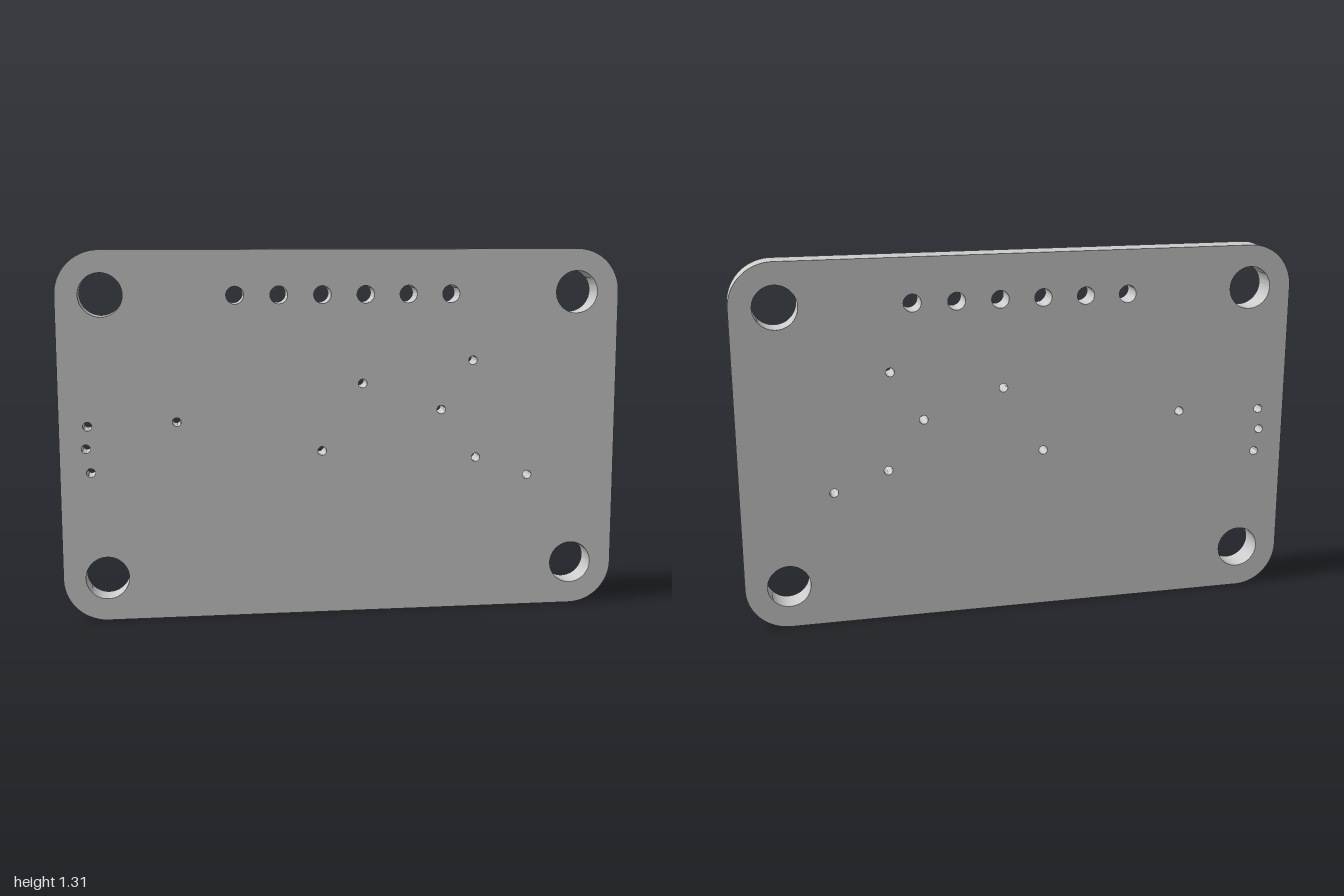
import * as THREE from 'three';
import { toCreasedNormals } from 'three/addons/utils/BufferGeometryUtils.js';

const W = 2, H = 1.308, T = 0.095, R = 0.154;

// Plate outline with rounded corners, standing on y = 0
function plateOutline() {
  const s = new THREE.Shape();
  const x = W / 2 - R, q = Math.PI / 2;
  s.absarc(x, R, R, -q, 0, false);
  s.absarc(x, H - R, R, 0, q, false);
  s.absarc(-x, H - R, R, q, 2 * q, false);
  s.absarc(-x, R, R, 2 * q, 3 * q, false);
  s.closePath();
  return s;
}

export function createModel() {
  const outline = plateOutline();
  const drill = (x, y, r) => {
    const hole = new THREE.Path();
    hole.absarc(x, y, r, 0, Math.PI * 2, true);
    outline.holes.push(hole);
  };

  // Mounting holes, concentric with the corners
  for (const x of [-1, 1]) {
    for (const y of [R, H - R]) drill(x * (W / 2 - R), y, 0.076);
  }

  // Row of six header pin holes
  for (let i = 0; i < 6; i++) drill((i - 2.5) * 0.1537, 1.15, 0.031);

  // Small via holes
  const vias = [
    [0.067, 0.834], [0.467, 0.912], [0.353, 0.735], [0.482, 0.558], [0.675, 0.489],
    [-0.079, 0.594], [-0.592, 0.708], [-0.902, 0.698], [-0.909, 0.619], [-0.894, 0.534],
  ];
  for (const [x, y] of vias) drill(x, y, 0.0155);

  const geometry = new THREE.ExtrudeGeometry(outline, {
    depth: T, bevelEnabled: false, curveSegments: 32,
  });
  geometry.translate(0, 0, -T / 2);

  const plate = new THREE.Mesh(
    toCreasedNormals(geometry, 0.6),
    new THREE.MeshStandardMaterial({ color: 0xcccccc }),
  );
  plate.name = 'circuitBoardPlate';

  const group = new THREE.Group();
  group.name = 'circuitBoard';
  group.add(plate);
  return group;
}
